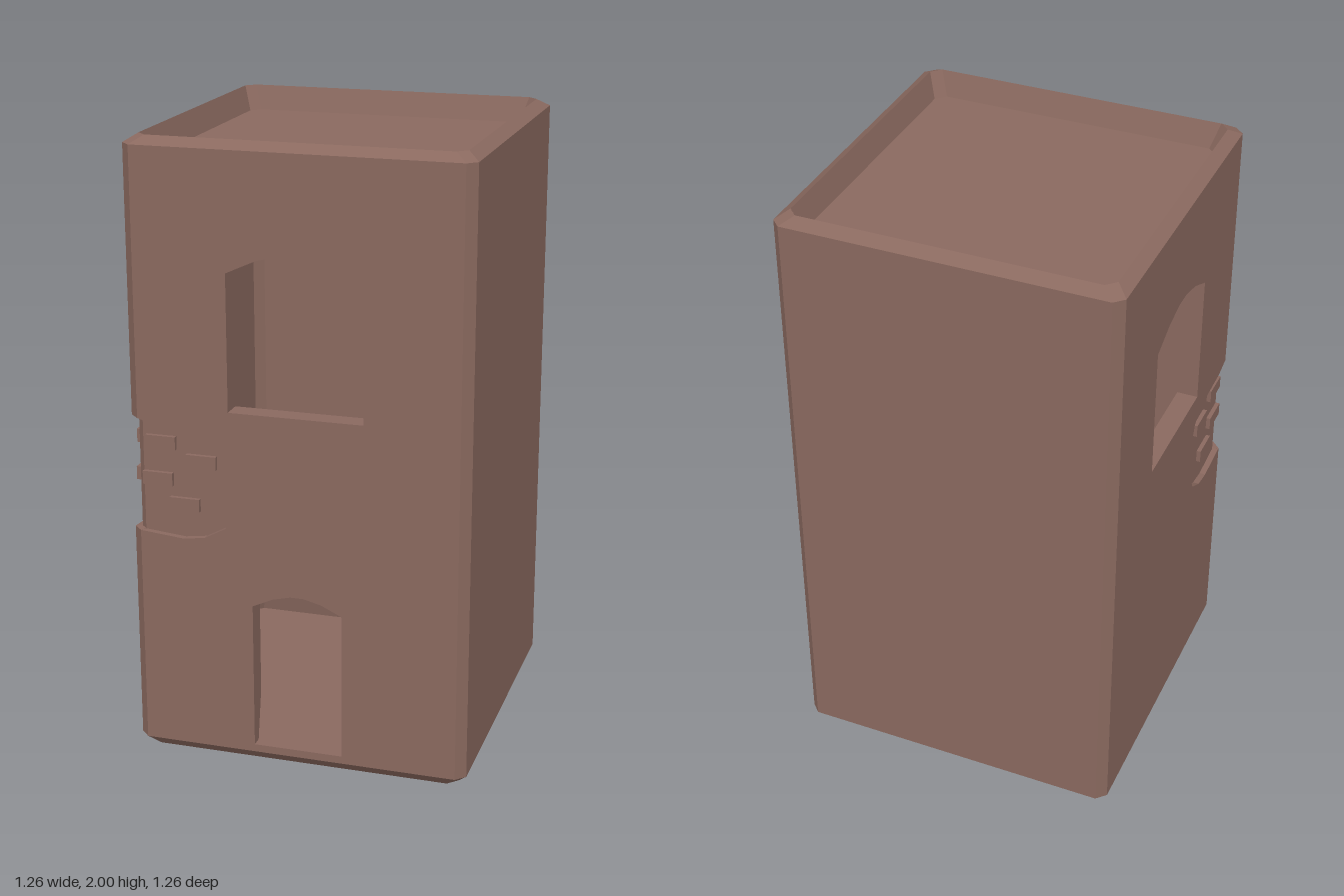
import * as THREE from 'three';

const HALF = 0.543, CUT = 0.03, CORE = 0.523, INNER = 0.475;
const FLOOR = 0.05, FLARE_TOP = 0.22, FLARE = 0.033;

const v2 = (pts) => pts.map(([x, y]) => new THREE.Vector2(x, y));
const rect = (w, y0, y1) => [[-w, y0], [w, y0], [w, y1], [-w, y1]];

// Low arch over a straight-sided opening, right spring point to left
function archTop(w, spring, peak) {
  const mid = spring + (peak - spring) * 0.68;
  return [[w, spring], [w * 0.55, mid], [w * 0.15, peak], [-w * 0.15, peak], [-w * 0.55, mid], [-w, spring]];
}
const DOOR_W = 0.145, DOOR_SILL = 0.06;
const doorTop = archTop(DOOR_W, 0.54, 0.585);
const doorHole = [[-DOOR_W, DOOR_SILL], [DOOR_W, DOOR_SILL], ...doorTop];
const windowHole = [[-0.215, 1.17], [0.215, 1.17], ...archTop(0.215, 1.605, 1.67)];

// Ragged edge of the broken plaster, bottom to top, at the -x side of a wall
const BREAK_LOW = 0.755, BREAK_HIGH = 1.125;
const breakEdge = [
  [-0.513, BREAK_HIGH], [-0.45, 1.107], [-0.29, 1.1], [-0.245, 1.09], [-0.21, 1.06], [-0.187, 1.0],
  [-0.203, 0.94], [-0.19, 0.87], [-0.23, 0.79], [-0.3, 0.752], [-0.37, 0.742], [-0.513, BREAK_LOW],
];
// Exposed bricks: centre x, centre y
const bricks = [[-0.442, 1.05], [-0.31, 0.997], [-0.454, 0.93], [-0.367, 0.852]];

// Flat plate between two depths, with holes
function plate(outline, holes, z0, z1) {
  const shape = new THREE.Shape(v2(outline));
  holes.forEach((h) => shape.holes.push(new THREE.Path(v2(h))));
  return new THREE.ExtrudeGeometry(shape, { depth: z1 - z0, bevelEnabled: false }).translate(0, 0, z0);
}

// How far the inner wall leans outward near the floor
const flareAt = (y) => FLARE * Math.max(0, Math.min(1, (FLARE_TOP - y) / (FLARE_TOP - FLOOR)));

function flarePlate(geo) {
  const p = geo.attributes.position;
  for (let i = 0; i < p.count; i++) {
    if (p.getZ(i) < INNER + 0.001) p.setZ(i, INNER + flareAt(p.getY(i)));
  }
  geo.computeVertexNormals();
  return geo;
}

// Octagonal square-with-cut-corners rings [half, y], joined in order
function loft(rings, capStart, capEnd) {
  const pos = [];
  const loops = rings.map(([h, y]) => {
    const c = h - CUT;
    return [[h, c], [h, -c], [c, -h], [-c, -h], [-h, -c], [-h, c], [-c, h], [c, h]]
      .map(([x, z]) => [x, y, z]);
  });
  const tri = (a, b, c) => pos.push(...a, ...b, ...c);
  for (let r = 0; r + 1 < loops.length; r++) {
    for (let i = 0; i < 8; i++) {
      const j = (i + 1) % 8, lo = loops[r], up = loops[r + 1];
      tri(lo[i], lo[j], up[j]);
      tri(lo[i], up[j], up[i]);
    }
  }
  const first = loops[0], last = loops[loops.length - 1];
  for (let i = 1; i < 7; i++) {
    if (capStart) tri(first[0], first[i + 1], first[i]);
    if (capEnd) tri(last[0], last[i], last[i + 1]);
  }
  const geo = new THREE.BufferGeometry();
  geo.setAttribute('position', new THREE.Float32BufferAttribute(pos, 3));
  geo.computeVertexNormals();
  return geo;
}

// Upright post with a four-sided plan in (x, z)
function post(plan, y0, y1) {
  const geo = new THREE.ExtrudeGeometry(new THREE.Shape(v2(plan.map(([x, z]) => [x, -z]))),
    { depth: y1 - y0, bevelEnabled: false });
  return geo.rotateX(-Math.PI / 2).translate(0, y0, 0);
}
const outerPlan = [[0.513, 0.543], [0.543, 0.513], [0.523, 0.503], [0.503, 0.523]];
const innerPlan = [[0.503, 0.523], [0.523, 0.503], [0.475, 0.445], [0.445, 0.475]];

export function createModel() {
  const model = new THREE.Group();
  model.name = 'tower';
  const clay = new THREE.MeshStandardMaterial({ color: 0x8a695f });
  clay.name = 'clayBrown';

  const building = new THREE.Group();
  building.name = 'building';
  building.rotation.y = THREE.MathUtils.degToRad(11);
  model.add(building);

  const add = (parent, name, geo) => {
    const mesh = new THREE.Mesh(geo, clay);
    mesh.name = name;
    parent.add(mesh);
    return mesh;
  };

  // Four walls: outer plaster over a hollow core
  const walls = [
    { name: 'frontWall', turn: 0, door: true, window: true, side: 1 },
    { name: 'rightWall', turn: Math.PI / 2 },
    { name: 'backWall', turn: Math.PI },
    { name: 'leftWall', turn: -Math.PI / 2, window: true, side: -1 },
  ];
  for (const w of walls) {
    const wall = new THREE.Group();
    wall.name = w.name;
    wall.rotation.y = w.turn;
    building.add(wall);

    const windows = w.window ? [windowHole] : [];
    const holes = w.door ? [...windows, doorHole] : windows;
    let outline = rect(HALF - CUT, 0.035, 1.975);
    if (w.side) outline = [...outline, ...breakEdge].map(([x, y]) => [x * w.side, y]);
    add(wall, 'plaster', plate(outline, holes, CORE, HALF));

    // Core, split where the inner face starts to lean outward
    const c = 0.503;
    const upper = w.door
      ? [[-c, FLARE_TOP], [-DOOR_W, FLARE_TOP], ...doorTop.slice().reverse(), [DOOR_W, FLARE_TOP],
        [c, FLARE_TOP], [c, 1.9], [-c, 1.9]]
      : rect(c, FLARE_TOP, 1.9);
    const lower = w.door
      ? [[-c, FLOOR], [c, FLOOR], [c, FLARE_TOP], [DOOR_W, FLARE_TOP], [DOOR_W, DOOR_SILL],
        [-DOOR_W, DOOR_SILL], [-DOOR_W, FLARE_TOP], [-c, FLARE_TOP]]
      : rect(c, FLOOR, FLARE_TOP);
    add(wall, 'upperCore', plate(upper, windows, INNER, CORE));
    add(wall, 'lowerCore', flarePlate(plate(lower, [], INNER, CORE)));

    // Bricks showing in the broken plaster
    if (w.side) {
      for (const [x, y] of bricks) {
        add(wall, 'brick', new THREE.BoxGeometry(0.098, 0.043, 0.024))
          .position.set(x * w.side, y, CORE + 0.002);
      }
    }
  }

  // Corner posts; the broken one (front left of the picture plane) has a gap
  for (let k = 0; k < 4; k++) {
    const corner = new THREE.Group();
    corner.name = 'corner';
    corner.rotation.y = k * Math.PI / 2;
    building.add(corner);
    const spans = k === 3 ? [[0.035, BREAK_LOW], [BREAK_HIGH, 1.975]] : [[0.035, 1.975]];
    spans.forEach(([a, b]) => add(corner, 'cornerEdge', post(outerPlan, a, b)));
    add(corner, 'cornerCore', post(innerPlan, FLARE_TOP, 1.9));
    const foot = post(innerPlan, FLOOR, FLARE_TOP);
    const p = foot.attributes.position;
    for (let i = 0; i < p.count; i++) {
      if (p.getX(i) + p.getZ(i) < 0.95) {
        const f = flareAt(p.getY(i)) * 0.95;
        p.setXYZ(i, p.getX(i) + f, p.getY(i), p.getZ(i) + f);
      }
    }
    foot.computeVertexNormals();
    add(corner, 'cornerFoot', foot);
  }

  // Base, inner floor and ceiling, sloped parapet with sunken roof
  add(building, 'base', loft([[0.51, 0], [HALF, 0.035]], true, false));
  add(building, 'innerFloor', loft([[0.515, FLOOR]], false, true));
  add(building, 'ceiling', loft([[0.5, 1.88]], true, false));
  add(building, 'parapetAndRoof', loft([[HALF, 1.975], [0.505, 2], [0.479, 1.92]], false, true));

  return model;
}
